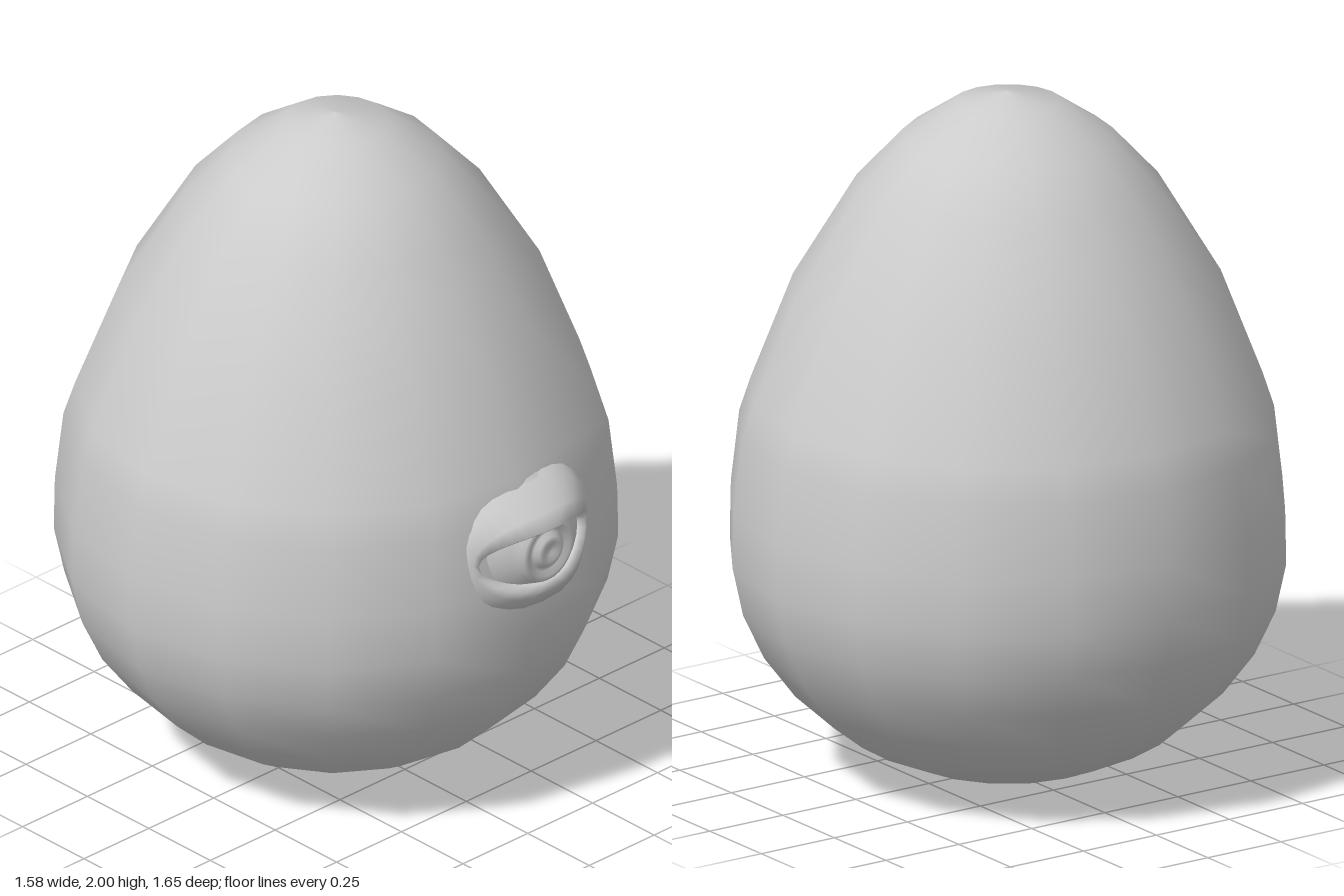
import * as THREE from 'three';

const material = new THREE.MeshStandardMaterial({ color: 0xcccccc });
const lidMaterial = new THREE.MeshStandardMaterial({ color: 0xcccccc, side: THREE.DoubleSide });

// Surface of revolution from [radius, height] pairs, listed bottom to top
function lathe(name, pairs, sides) {
  const points = pairs.map(([r, y]) => new THREE.Vector2(r, y));
  const mesh = new THREE.Mesh(new THREE.LatheGeometry(points, sides), material);
  mesh.name = name;
  return mesh;
}

// Closed almond-shaped rings joined from the outside inwards
function buildEyelids() {
  const SIDES = 28;
  // cx, cy: centre; rx: half width; up, dn: heights; zt, zb, zc: depth at top, bottom, corners
  const rings = [
    { cx: 0.04, cy: 0.92, rx: 0.24, up: 0.19, dn: 0.19, zt: 0.67, zb: 0.72, zc: 0.67, p: 0.75 },
    { cx: 0.04, cy: 0.92, rx: 0.235, up: 0.165, dn: 0.18, zt: 0.73, zb: 0.77, zc: 0.70, p: 0.8 },
    { cx: 0.04, cy: 0.915, rx: 0.22, up: 0.125, dn: 0.145, zt: 0.795, zb: 0.785, zc: 0.72, p: 0.9 },
    { cx: 0.04, cy: 0.91, rx: 0.205, up: 0.095, dn: 0.11, zt: 0.83, zb: 0.812, zc: 0.725, p: 0.95 },
    { cx: 0.04, cy: 0.9, rx: 0.19, up: 0.085, dn: 0.085, zt: 0.805, zb: 0.79, zc: 0.71, p: 1 },
    { cx: 0.04, cy: 0.9, rx: 0.185, up: 0.085, dn: 0.085, zt: 0.72, zb: 0.72, zc: 0.67, p: 1 },
  ];
  const positions = [], index = [];
  for (const r of rings) {
    for (let i = 0; i < SIDES; i++) {
      const a = (i / SIDES) * Math.PI * 2;
      const c = Math.cos(a), s = Math.sin(a);
      const px = Math.sign(c) * Math.abs(c) ** r.p;
      const py = Math.sign(s) * Math.abs(s) ** r.p;
      const side = s > 0 ? r.zt : r.zb;
      positions.push(r.cx + r.rx * px, r.cy + (s > 0 ? r.up : r.dn) * py, r.zc + (side - r.zc) * s * s);
    }
  }
  for (let k = 0; k < rings.length - 1; k++) {
    for (let i = 0; i < SIDES; i++) {
      const a = k * SIDES + i, b = k * SIDES + ((i + 1) % SIDES);
      index.push(a, b, b + SIDES, a, b + SIDES, a + SIDES);
    }
  }
  const geometry = new THREE.BufferGeometry();
  geometry.setAttribute('position', new THREE.Float32BufferAttribute(positions, 3));
  geometry.setIndex(index);
  geometry.computeVertexNormals();
  const mesh = new THREE.Mesh(geometry, lidMaterial);
  mesh.name = 'eyelids';
  return mesh;
}

export function createModel() {
  const model = new THREE.Group();
  model.name = 'eggWithEye';

  // Sixteen-sided egg, set slightly back
  const egg = lathe('eggBody', [
    [0, 0], [0.14, 0.01], [0.28, 0.05], [0.41, 0.105], [0.5, 0.16], [0.61, 0.26],
    [0.7, 0.38], [0.76, 0.51], [0.79, 0.65], [0.787, 0.81], [0.763, 1.02], [0.73, 1.12],
    [0.61, 1.43], [0.43, 1.73], [0.3, 1.87], [0.15, 1.97], [0, 2],
  ], 16);
  egg.position.z = -0.03;
  model.add(egg);

  const eye = new THREE.Group();
  eye.name = 'eye';

  // Eyeball facing forward, with an iris rim, groove and pupil
  const eyeball = lathe('eyeball', [
    [0.215, 0.66], [0.19, 0.7], [0.16, 0.735], [0.125, 0.763], [0.105, 0.775],
    [0.095, 0.788], [0.08, 0.792], [0.066, 0.782], [0.055, 0.784],
    [0.045, 0.797], [0.03, 0.8], [0.015, 0.793], [0, 0.791],
  ], 28);
  eyeball.rotation.x = Math.PI / 2;
  eyeball.position.set(0.045, 0.91, 0);
  eye.add(eyeball, buildEyelids());
  model.add(eye);

  return model;
}
